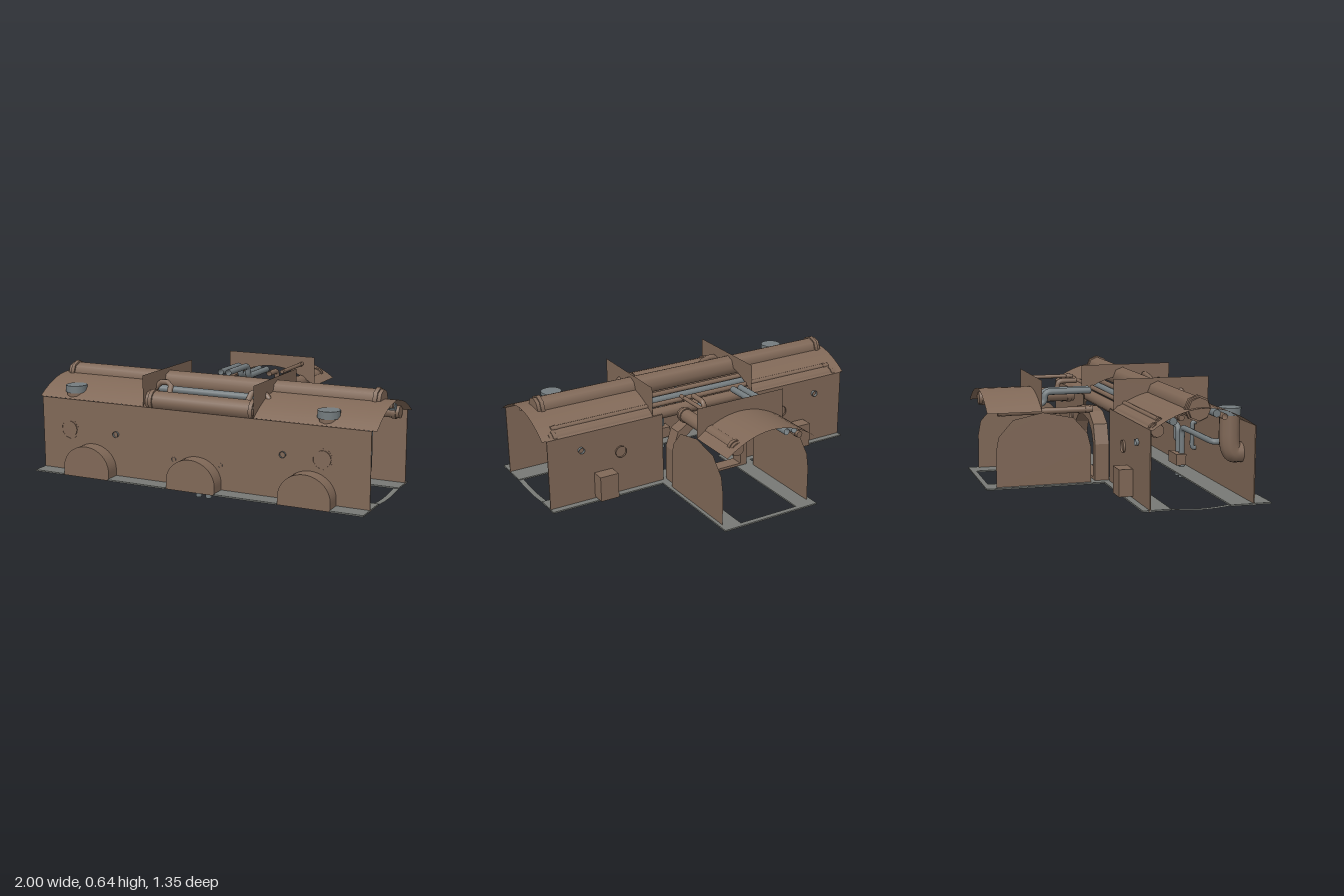
import * as THREE from 'three';

const mat = (name, color) => {
  const m = new THREE.MeshStandardMaterial({ color, side: THREE.DoubleSide });
  m.name = name;
  return m;
};

export function createModel() {
  const model = new THREE.Group();
  model.name = 'pipeTunnelJunction';
  const brown = mat('rustBrown', 0x806857);
  const grey = mat('pipeGrey', 0x747c7f);
  const floorGrey = mat('floorGrey', 0x777975);

  const add = (name, geo, m, x = 0, y = 0, z = 0) => {
    const mesh = new THREE.Mesh(geo, m);
    mesh.name = name;
    mesh.position.set(x, y, z);
    model.add(mesh);
    return mesh;
  };
  const box = (name, m, x0, x1, y0, y1, z0, z1) =>
    add(name, new THREE.BoxGeometry(x1 - x0, y1 - y0, z1 - z0), m, (x0 + x1) / 2, (y0 + y1) / 2, (z0 + z1) / 2);
  const shape = pts => new THREE.Shape(pts.map(p => new THREE.Vector2(...p)));
  const V = p => new THREE.Vector3(...p);

  // straight pipe between two points, with collars at both ends
  const rod = (name, m, a, b, r, collar = true, sides = 12) => {
    const A = V(a), B = V(b), dir = B.clone().sub(A), len = dir.length();
    dir.normalize();
    const q = new THREE.Quaternion().setFromUnitVectors(new THREE.Vector3(0, 1, 0), dir);
    const piece = (n, c, l, rad) => {
      const mesh = add(n, new THREE.CylinderGeometry(rad, rad, l, sides), m, c.x, c.y, c.z);
      mesh.quaternion.copy(q);
    };
    piece(name, A.clone().lerp(B, 0.5), len, r);
    if (collar) [0.03, len - 0.03].forEach(d => piece(name + 'Collar', A.clone().addScaledVector(dir, d), 0.022, r * 1.15));
  };

  // bent pipe: straight runs joined by rounded corners
  const pipe = (name, m, pts, r, bend = 0.04) => {
    const P = pts.map(V), path = new THREE.CurvePath();
    let from = P[0];
    for (let i = 1; i < P.length - 1; i++) {
      const step = q => P[i].clone().add(q.clone().sub(P[i]).setLength(Math.min(bend, P[i].distanceTo(q) * 0.48)));
      const s = step(P[i - 1]), e = step(P[i + 1]);
      path.add(new THREE.LineCurve3(from, s));
      path.add(new THREE.QuadraticBezierCurve3(s, P[i], e));
      from = e;
    }
    path.add(new THREE.LineCurve3(from, P[P.length - 1]));
    add(name, new THREE.TubeGeometry(path, 56, r, 10, false), m);
  };

  // vaulted sheet running along x, arched across z
  const vaultY = t => 0.47 + 0.1 * (1 - t * t);
  const vault = (len, width) => {
    const g = new THREE.PlaneGeometry(len, width, 1, 14).rotateX(-Math.PI / 2);
    const p = g.attributes.position;
    for (let i = 0; i < p.count; i++) p.setY(i, vaultY(p.getZ(i) / (width / 2)));
    g.computeVertexNormals();
    return g;
  };

  // bulkhead sheet with arched lower edge
  const bulkhead = half => {
    const pts = [[half, 0.64], [-half, 0.64]];
    for (let i = 0; i <= 14; i++) {
      const t = -1 + i / 7;
      pts.push([t * half, vaultY(t)]);
    }
    return new THREE.ShapeGeometry(shape(pts));
  };

  // main tunnel walls
  box('frontWall', brown, -0.98, 0.975, 0.055, 0.47, 0.572, 0.578);
  for (const s of [-1, 1]) {
    box('backWall', brown, s > 0 ? 0.27 : -0.98, s > 0 ? 0.975 : -0.27, 0.055, 0.47, 0.016, 0.022);
    add('tunnelRoof', vault(0.67, 0.55), brown, s * 0.665, 0, 0.295);
    add('tunnelBulkhead', bulkhead(0.275), brown, s * 0.33, 0, 0.295).rotation.y = Math.PI / 2;
    box('wallCabinet', brown, s * 0.65 - 0.055, s * 0.65 + 0.055, 0.075, 0.22, -0.06, 0.02);
  }

  // arched bays on the front wall
  for (const x of [-0.65, 0, 0.65]) {
    const s = new THREE.Shape();
    s.moveTo(-0.145, 0.055);
    s.lineTo(0.145, 0.055);
    s.lineTo(0.145, 0.1);
    s.absellipse(0, 0.1, 0.145, 0.13, 0, Math.PI, false);
    add('wallBay', new THREE.ExtrudeGeometry(s, { depth: 0.08, bevelEnabled: false, curveSegments: 20 }), brown, x, 0, 0.578);
  }

  // floor: edge strips with gaps under the bays, open in the middle
  const F0 = 0.058, F1 = 0.066;
  box('frontFloor', floorGrey, -0.98, 0.975, F0, F1, 0.45, 0.58);
  for (const [a, b] of [[-0.98, -0.795], [-0.505, -0.145], [0.145, 0.505], [0.795, 0.975]])
    box('frontFloorTab', floorGrey, a, b, F0, F1, 0.58, 0.672);
  for (const s of [-1, 1]) {
    box('backFloor', floorGrey, s > 0 ? 0.17 : -0.98, s > 0 ? 0.975 : -0.17, F0, F1, -0.02, 0.13);
    box('branchFloor', floorGrey, s > 0 ? 0.18 : -0.3, s > 0 ? 0.295 : -0.18, F0, F1, -0.678, -0.02);
    // sagging sill across each tunnel end
    const sill = new THREE.PlaneGeometry(0.03, 0.34, 1, 8).rotateX(-Math.PI / 2);
    const p = sill.attributes.position;
    for (let i = 0; i < p.count; i++) p.setY(i, 0.05 + 0.012 * (p.getZ(i) / 0.17) ** 2);
    sill.computeVertexNormals();
    add('endSill', sill, floorGrey, s * 0.96, 0, 0.29);
  }
  box('branchSill', floorGrey, -0.18, 0.18, F0, F1, -0.678, -0.65);

  // side branch: arched walls, roof and bulkhead
  const side = shape([[0.09, 0.06], [0.09, 0.26], [0.11, 0.34], [0.19, 0.43], [0.36, 0.465],
    [0.525, 0.43], [0.605, 0.34], [0.62, 0.26], [0.62, 0.06]]);
  for (const s of [-1, 1])
    add('branchWall', new THREE.ShapeGeometry(side), brown, s * 0.275).rotation.y = Math.PI / 2;
  add('branchRoof', vault(0.3, 0.555), brown, 0, 0, -0.515).rotation.y = Math.PI / 2;
  add('branchBulkhead', bulkhead(0.277), brown, 0, 0, -0.365);

  // portal frame between tunnel and branch
  const arch = (half, top) => [[-half, 0.065], [half, 0.065], [half, 0.27], [half * 0.86, top - 0.07],
    [half * 0.5, top - 0.012], [0, top], [-half * 0.5, top - 0.012], [-half * 0.86, top - 0.07], [-half, 0.27]];
  const frame = shape(arch(0.25, 0.447));
  const inner = arch(0.205, 0.4);
  inner[0][1] = inner[1][1] = 0.08;
  frame.holes.push(shape(inner));
  add('portalFrame', new THREE.ExtrudeGeometry(frame, { depth: 0.08, bevelEnabled: false }), brown, 0, 0, -0.06);

  // long pipes through the tunnel
  rod('mainPipe', brown, [-0.97, 0.562, 0.275], [0.93, 0.562, 0.275], 0.06, true, 8);
  rod('backPipe', brown, [-0.96, 0.462, 0.06], [0.95, 0.462, 0.06], 0.034);
  rod('thinBackPipe', brown, [-0.93, 0.505, 0.085], [0.92, 0.505, 0.085], 0.014);
  rod('frontPipe', brown, [-0.33, 0.495, 0.497], [0.33, 0.495, 0.497], 0.053);
  rod('greyFrontPipe', grey, [-0.96, 0.535, 0.372], [0.95, 0.535, 0.372], 0.02, false);
  rod('brownMiddlePipe', brown, [-0.96, 0.52, 0.185], [0.95, 0.52, 0.185], 0.015);
  rod('greyBackPipe', grey, [-0.96, 0.505, 0.142], [0.95, 0.505, 0.142], 0.02, false);
  pipe('offsetPipe', brown, [[-0.95, 0.515, 0.42], [-0.36, 0.515, 0.42], [-0.32, 0.58, 0.405], [-0.245, 0.58, 0.405],
    [-0.235, 0.51, 0.46], [0.235, 0.51, 0.46], [0.245, 0.58, 0.405], [0.32, 0.58, 0.405], [0.36, 0.515, 0.42], [0.95, 0.515, 0.42]], 0.016, 0.025);

  // large elbows leaving through the front wall
  for (const x of [0.72, -0.8]) {
    pipe('wallElbow', brown, [[x, 0.54, 0.505], [x, 0.3, 0.505], [x, 0.3, 0.579]], 0.055, 0.1);
    rod('elbowFlange', grey, [x, 0.5, 0.505], [x, 0.54, 0.505], 0.06, false);
    const cap = add('elbowOutlet', new THREE.CylinderGeometry(0.045, 0.045, 0.006, 20), brown, x, 0.3, 0.58);
    cap.rotation.x = Math.PI / 2;
  }
  // smaller elbows leaving through the back wall
  for (const x of [-0.54, 0.54]) {
    pipe('backElbow', brown, [[x, 0.45, 0.07], [x, 0.31, 0.07], [x, 0.31, 0.005]], 0.034, 0.06);
    rod('backElbowCollar', brown, [x, 0.39, 0.07], [x, 0.415, 0.07], 0.04, false);
  }

  // grey drain runs on the front wall, dropping through the floor
  for (const s of [-1, 1]) {
    const x = 0.018 + s * 0.03;
    pipe('frontDrain', grey, [[s * 0.5, 0.3, 0.59], [s * 0.5, 0.3, 0.535], [x, 0.3, 0.535], [x, 0.0, 0.535]], 0.017);
    pipe('lowerFeed', grey, [[s * 0.14, 0.35, 0.575], [s * 0.14, 0.35, 0.55], [s * 0.14, 0.2, 0.55], [s * 0.14, 0.2, 0.58]], 0.013, 0.02);
    // service pipes on the back wall
    pipe('backService', grey, [[s * 0.78, 0.375, 0.0], [s * 0.78, 0.375, 0.065], [s * 0.78, 0.14, 0.065]], 0.018);
    pipe('backServiceFoot', grey, [[s * 0.78, 0.16, 0.065], [s * 0.78, 0.105, 0.065], [s * 0.66, 0.105, 0.065], [s * 0.66, 0.105, 0.0]], 0.015, 0.025);
  }
  box('junctionBox', brown, -0.05, 0.09, 0.08, 0.145, 0.49, 0.55);

  // pipes along the branch
  rod('branchMainPipe', brown, [0.19, 0.49, -0.07], [0.19, 0.49, -0.63], 0.038);
  rod('branchSidePipe', brown, [-0.225, 0.465, -0.07], [-0.225, 0.465, -0.6], 0.018);
  rod('branchThinPipe', brown, [0.2, 0.597, -0.07], [0.2, 0.597, -0.36], 0.011);
  pipe('branchDropPipe', brown, [[0.12, 0.58, -0.07], [0.12, 0.58, -0.18], [0.12, 0.53, -0.18], [0.12, 0.53, -0.62]], 0.015, 0.03);
  for (const x of [-0.14, -0.19])
    pipe('branchGreyPipe', grey, [[x, 0.565, -0.07], [x, 0.565, -0.33], [x, 0.5, -0.33], [x, 0.5, -0.6]], 0.018, 0.035);
  rod('branchGreyRod', grey, [0.09, 0.52, -0.07], [0.09, 0.52, -0.36], 0.012, false);

  return model;
}
